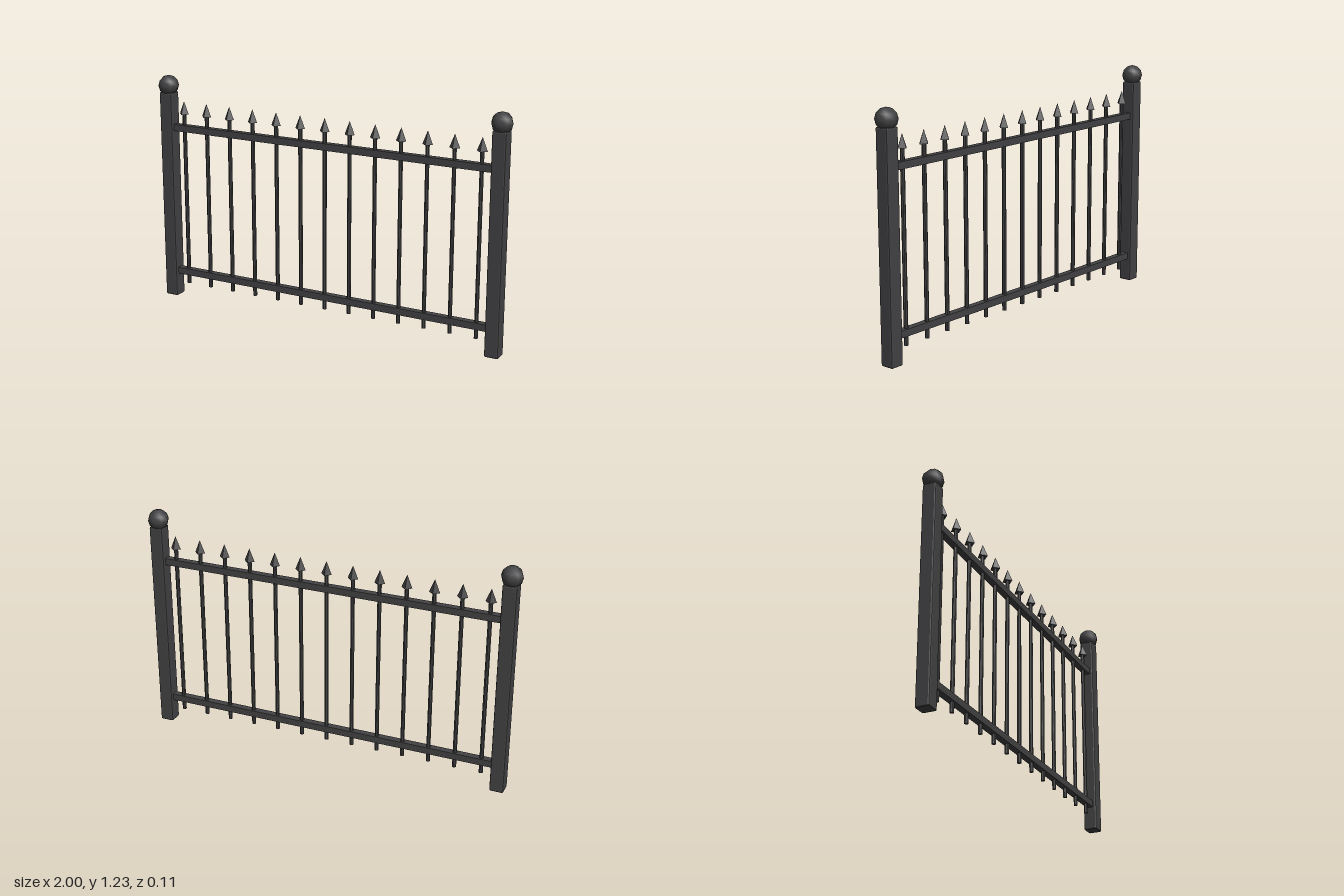
import * as THREE from 'three';
import { RoundedBoxGeometry } from 'three/addons/geometries/RoundedBoxGeometry.js';

export function createModel() {
  const fence = new THREE.Group();
  fence.name = 'fence';
  const iron = new THREE.MeshStandardMaterial({ color: 0x424244 });
  iron.name = 'darkIron';
  const ironFlat = iron.clone();
  ironFlat.flatShading = true;

  const add = (name, geometry, material, x, y) => {
    const mesh = new THREE.Mesh(geometry, material);
    mesh.name = name;
    mesh.position.set(x, y, 0);
    fence.add(mesh);
  };

  // End posts with ball finials
  const postX = 0.945;
  const post = new RoundedBoxGeometry(0.074, 1.14, 0.074, 1, 0.008);
  const ball = new THREE.SphereGeometry(0.055, 8, 6);
  for (const [side, s] of [['left', 1], ['right', -1]]) {
    add(side + 'Post', post, ironFlat, s * postX, 0.57);
    add(side + 'Ball', ball, iron, s * postX, 1.175);
  }

  // Horizontal rails, running into the posts
  const rail = new THREE.BoxGeometry(postX * 2, 0.036, 0.036);
  add('lowerRail', rail, ironFlat, 0, 0.144);
  add('upperRail', rail, ironFlat, 0, 0.951);

  // Pickets with four-sided spear tips
  const count = 13;
  const bottom = 0.076, shoulder = 1.028, tip = 1.097;
  const bar = new THREE.CylinderGeometry(0.011, 0.011, shoulder - bottom, 8);
  const spear = new THREE.ConeGeometry(0.028, tip - shoulder, 4);
  for (let i = 0; i < count; i++) {
    const x = -0.85 + (1.7 * i) / (count - 1);
    add('picket' + (i + 1), bar, ironFlat, x, (bottom + shoulder) / 2);
    add('spearTip' + (i + 1), spear, ironFlat, x, (shoulder + tip) / 2);
  }
  return fence;
}
